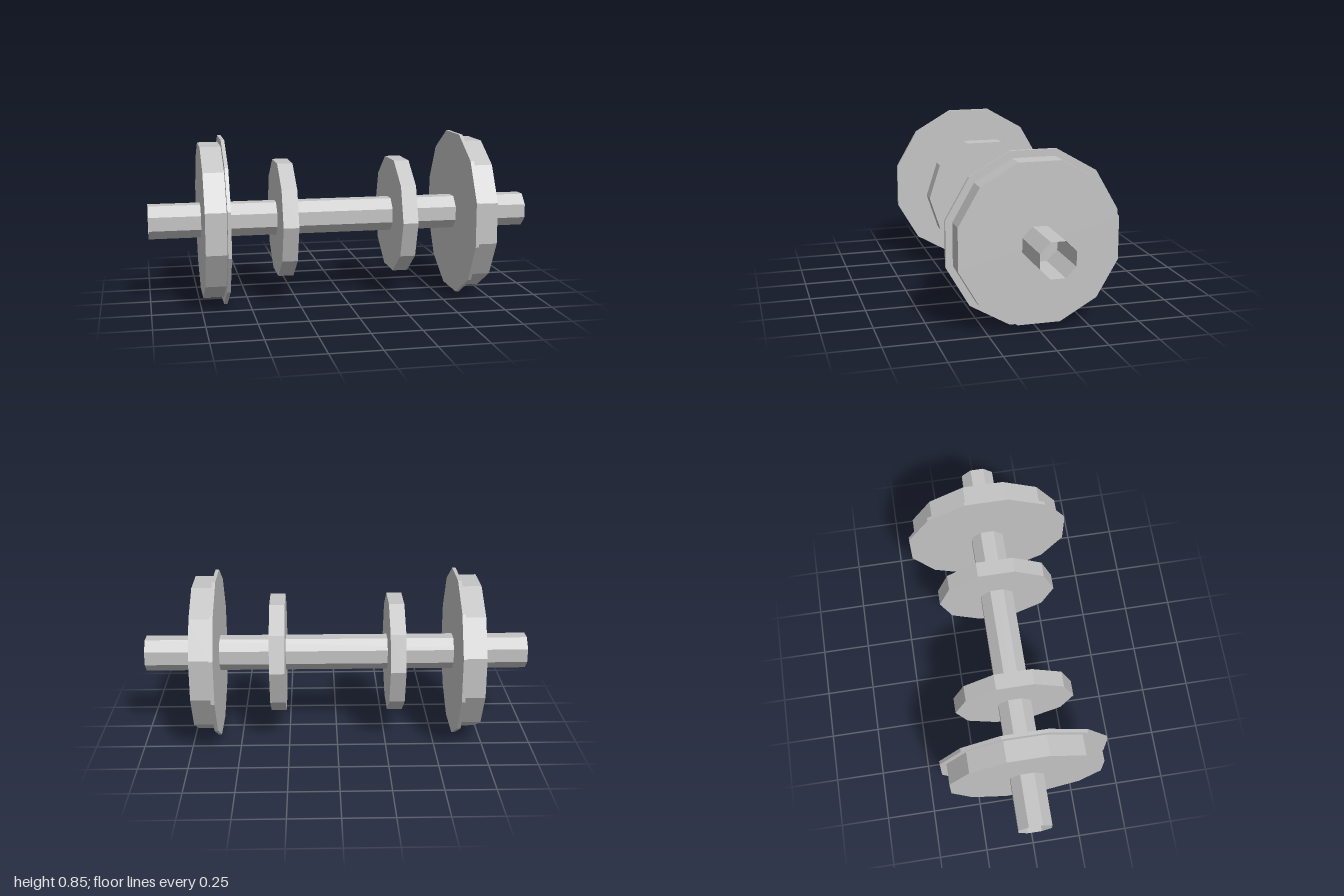
import * as THREE from 'three';

const AXIS_Y = 0.425;

export function createModel() {
  const model = new THREE.Group();
  model.name = 'dumbbell';
  const steel = new THREE.MeshStandardMaterial({ color: 0xc4c4c4, flatShading: true, side: THREE.DoubleSide });
  steel.name = 'grey steel';

  // Faceted cylinder lying along x, from x0 to x1
  function addDisc(name, radius, x0, x1, sides, turn, open = false) {
    const geometry = new THREE.CylinderGeometry(radius, radius, x1 - x0, sides, 1, open, turn);
    geometry.rotateZ(Math.PI / 2);
    const mesh = new THREE.Mesh(geometry, steel);
    mesh.name = name;
    mesh.position.set((x0 + x1) / 2, AXIS_Y, 0);
    model.add(mesh);
  }

  // Hollow octagonal bar, open at both ends
  addDisc('bar', 0.092, -1, 1, 8, Math.PI / 8, true);

  // Mirrored weights: outer plate, its thin flange, and the inner collar
  const weights = [
    ['OuterPlate', 0.403, 0.63, 0.735, 12, Math.PI / 12],
    ['Flange', 0.438, 0.612, 0.63, 12, Math.PI / 12],
    ['InnerCollar', 0.309, 0.266, 0.345, 10, 0],
  ];
  for (const [name, radius, near, far, sides, turn] of weights) {
    addDisc('left' + name, radius, near, far, sides, turn);
    addDisc('right' + name, radius, -far, -near, sides, turn);
  }
  return model;
}
